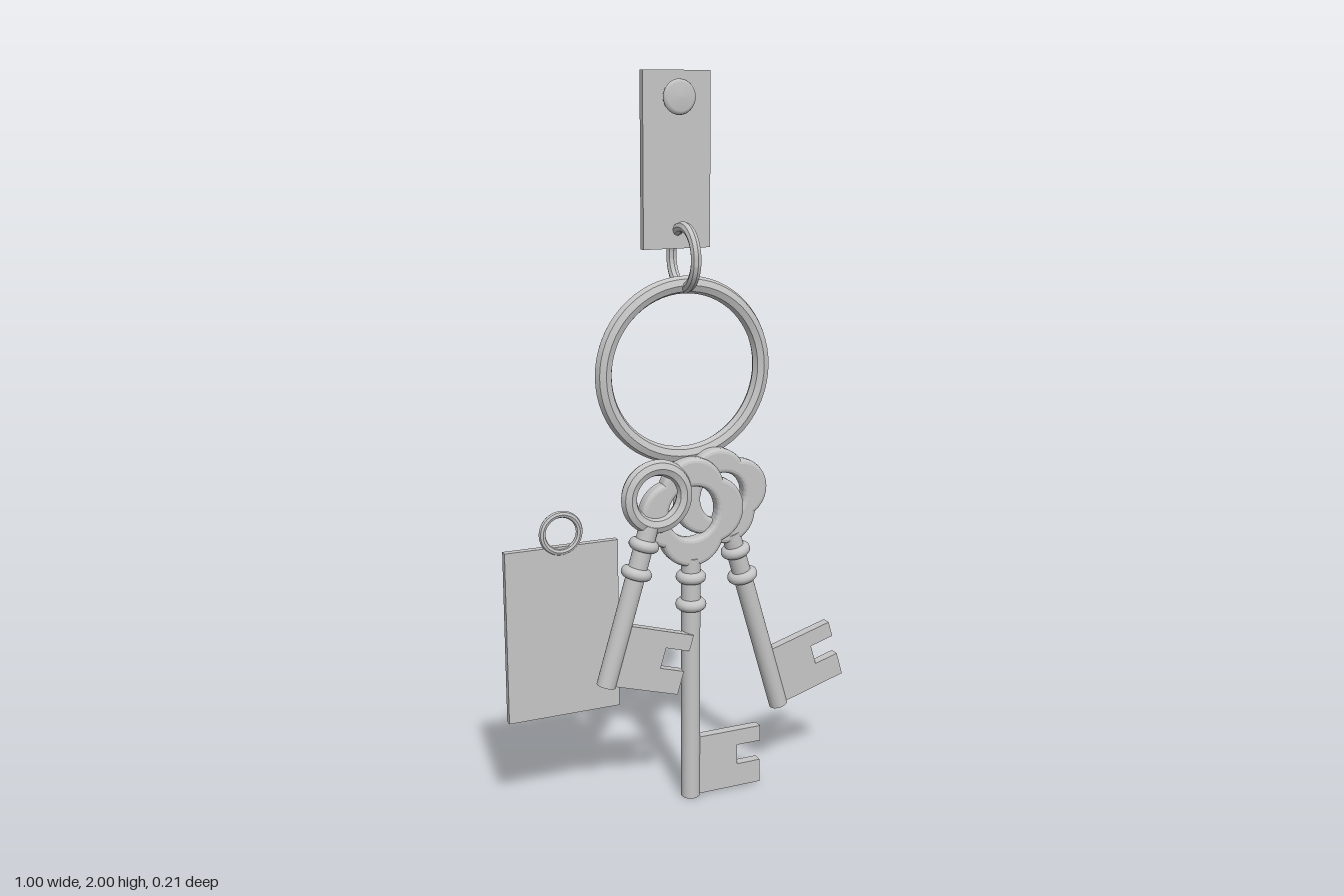
import * as THREE from 'three';
import { toCreasedNormals } from 'three/addons/utils/BufferGeometryUtils.js';

export function createModel() {
  const group = new THREE.Group();
  const metal = new THREE.MeshStandardMaterial({ color: 0xc5c5c5 });
  metal.name = 'light grey metal';

  const add = (parent, name, geometry, x = 0, y = 0, z = 0) => {
    const mesh = new THREE.Mesh(geometry, metal);
    mesh.name = name;
    mesh.position.set(x, y, z);
    parent.add(mesh);
    return mesh;
  };

  // Ring with an eight-sided section and crisp edges
  const ringGeometry = (radius, tube) =>
    toCreasedNormals(new THREE.TorusGeometry(radius, tube, 8, 64), 0.5);

  // Hanging strap with its rounded rivet
  add(group, 'strap', new THREE.BoxGeometry(0.193, 0.46, 0.02), 0.013, 1.77, -0.06);
  const rivetProfile = [[0, -0.01], [0.038, -0.01], [0.044, -0.006], [0.046, 0], [0.044, 0.005], [0.036, 0.009], [0, 0.011]]
    .map(([r, y]) => new THREE.Vector2(r, y));
  add(group, 'rivet', new THREE.LatheGeometry(rivetProfile, 32), 0.013, 1.932, -0.034).rotation.x = Math.PI / 2;

  // Link and main ring
  add(group, 'linkRing', ringGeometry(0.08, 0.0145), 0.015, 1.52, -0.012).rotation.y = Math.PI / 2;
  add(group, 'mainRing', ringGeometry(0.231, 0.0235), 0.014, 1.218, -0.009);

  // Flat tag with a small ring
  add(group, 'tag', new THREE.BoxGeometry(0.319, 0.48, 0.02), -0.341, 0.529, -0.017);
  add(group, 'tagRing', ringGeometry(0.052, 0.0095), -0.343, 0.806, -0.01);

  // Bow: four overlapping round lobes around a round hole
  const bowGeometry = (radius) => {
    const bevel = 0.012;
    const outer = radius - bevel;
    const offset = outer * 0.42;
    const lobe = outer - offset;
    // Half sweep of each lobe, up to where it meets its neighbour
    const sweep = Math.PI / 4 + Math.asin((offset * Math.SQRT1_2) / lobe);
    const shape = new THREE.Shape();
    for (let i = 0; i < 4; i++) {
      const a = (i * Math.PI) / 2;
      shape.absarc(offset * Math.cos(a), offset * Math.sin(a), lobe, a - sweep, a + sweep, false);
    }
    const hole = new THREE.Path();
    hole.absarc(0, 0, radius * 0.48 + bevel, 0, Math.PI * 2, true);
    shape.holes.push(hole);
    return new THREE.ExtrudeGeometry(shape, {
      depth: 0.02, bevelEnabled: true, bevelSize: bevel, bevelThickness: bevel, bevelSegments: 3, curveSegments: 16,
    }).translate(0, 0, -0.01);
  };

  // Notched bit, with its lower edge near y = 0
  const bitGeometry = () => {
    const shape = new THREE.Shape([
      [0, 0.005], [0.213, 0.005], [0.213, 0.073], [0.14, 0.073],
      [0.14, 0.132], [0.213, 0.132], [0.213, 0.178], [0, 0.178],
    ].map(([x, y]) => new THREE.Vector2(x, y)));
    return new THREE.ExtrudeGeometry(shape, { depth: 0.028, bevelEnabled: false }).translate(0, 0, -0.014);
  };

  // Key hanging from the centre of its bow
  const makeKey = (name, x, y, z, tilt, length, radius, ringBow) => {
    const key = new THREE.Group();
    key.name = name;
    key.position.set(x, y, z);
    key.rotation.z = tilt;
    if (ringBow) add(key, 'bow', ringGeometry(radius - 0.022, 0.0225));
    else add(key, 'bow', bowGeometry(radius));

    const top = -radius + 0.022;
    add(key, 'shaft', new THREE.CylinderGeometry(0.0265, 0.0265, length + top, 24), 0, (top - length) / 2, 0);
    for (const [offset, size] of [[0.033, 0.026], [0.112, 0.027]]) {
      add(key, 'collar', new THREE.TorusGeometry(size, 0.016, 12, 32), 0, -radius - offset, 0).rotation.x = Math.PI / 2;
    }
    add(key, 'bit', bitGeometry(), 0, -length, 0);
    group.add(key);
  };

  makeKey('leftLobedKey', 0.11, 0.868, 0.022, 0.287, 0.676, 0.138, false);
  makeKey('middleLobedKey', 0.013, 0.838, 0.042, 0, 0.838, 0.152, false);
  makeKey('rightRingKey', -0.095, 0.896, 0.06, -0.287, 0.536, 0.102, true);

  return group;
}
